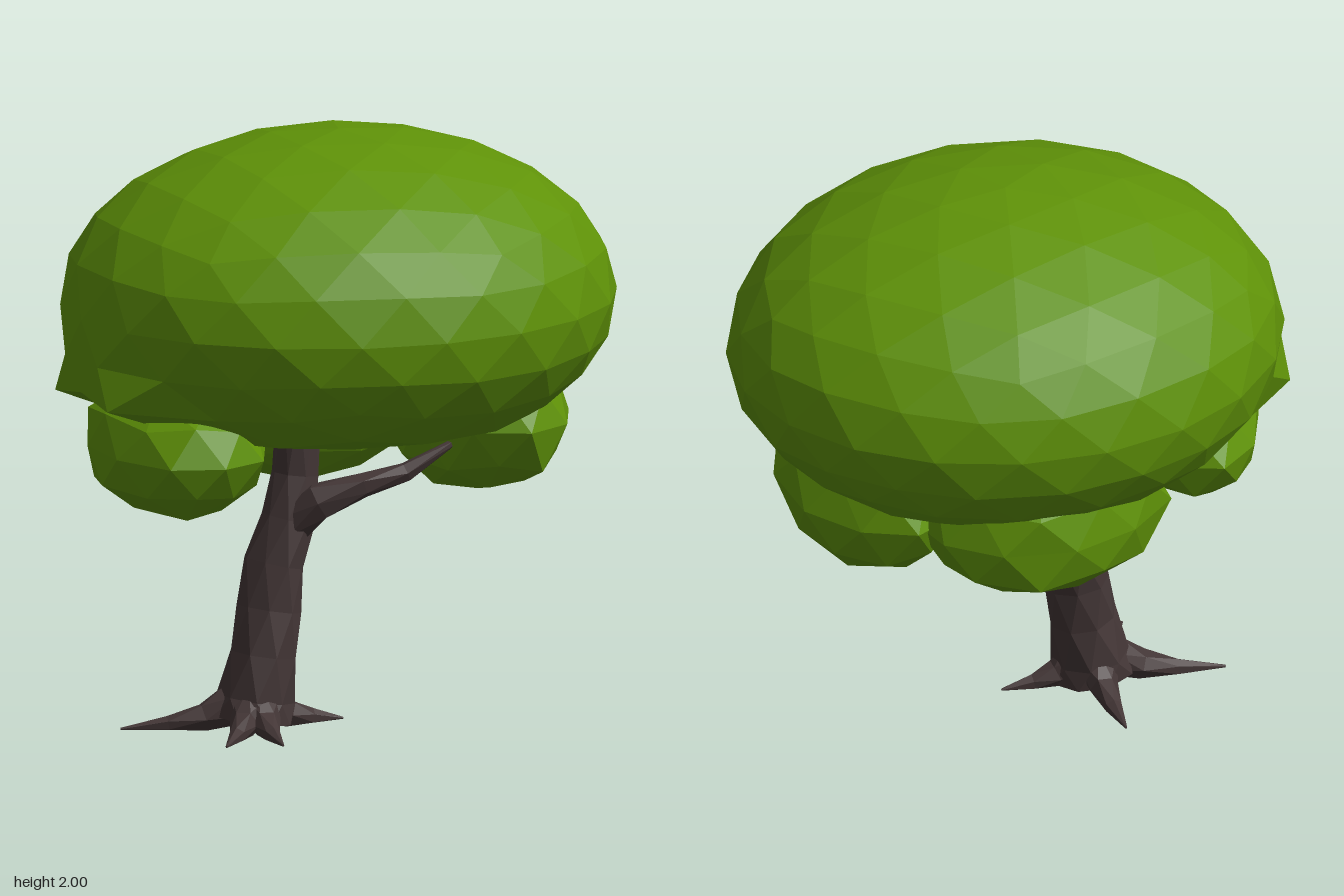
import * as THREE from 'three';

const leafMat = new THREE.MeshStandardMaterial({ color: 0x5f9208, flatShading: true });
const barkMat = new THREE.MeshStandardMaterial({ color: 0x433636, flatShading: true });

// repeatable noise in -1..1 from a position, so shared corners move together
function noise(x, y, z, seed) {
  const r = (v) => Math.round(v * 1000) / 1000;
  const s = Math.sin(r(x) * 127.1 + r(y) * 311.7 + r(z) * 74.7 + seed * 53.3) * 43758.5453;
  return (s - Math.floor(s)) * 2 - 1;
}

function addMesh(group, name, geometry, material) {
  const mesh = new THREE.Mesh(geometry, material);
  mesh.name = name;
  group.add(mesh);
}

// faceted ball with a corner at its pole; rule(v) moves each unit-sphere point
function leafBall(detail, rule) {
  const geo = new THREE.IcosahedronGeometry(1, detail);
  geo.rotateZ(Math.atan(2 / (1 + Math.sqrt(5))));
  geo.rotateY(Math.PI);
  const pos = geo.attributes.position;
  const v = new THREE.Vector3();
  for (let i = 0; i < pos.count; i++) {
    rule(v.fromBufferAttribute(pos, i));
    pos.setXYZ(i, v.x, v.y, v.z);
  }
  geo.computeVertexNormals();
  return geo;
}

// tapering limb through sections [x, y, z, radius]
function limb(sections, sides, rough, seed) {
  const centres = sections.map(([x, y, z]) => new THREE.Vector3(x, y, z));
  const n = sections.length;
  const span = centres[n - 1].clone().sub(centres[0]).normalize();
  const ref = Math.abs(span.y) > 0.7 ? new THREE.Vector3(1, 0, 0) : new THREE.Vector3(0, 1, 0);
  const verts = [];
  const index = [];
  sections.forEach(([, , , radius], i) => {
    const t = centres[Math.min(i + 1, n - 1)].clone().sub(centres[Math.max(i - 1, 0)]).normalize();
    const u = ref.clone().addScaledVector(t, -ref.dot(t)).normalize();
    const w = t.clone().cross(u);
    for (let j = 0; j < sides; j++) {
      const a = ((j + (i % 2) * 0.5) / sides) * Math.PI * 2;
      const r = radius * (1 + rough * noise(i, j, 0, seed));
      const p = centres[i].clone().addScaledVector(u, r * Math.cos(a)).addScaledVector(w, r * Math.sin(a));
      verts.push(p.x, Math.max(p.y, 0), p.z);
      if (i < n - 1) {
        const k = (j + 1) % sides;
        const [p0, p1, q0, q1] = [i * sides + j, i * sides + k, (i + 1) * sides + j, (i + 1) * sides + k];
        // half-step twist between rings gives alternating triangles
        if (i % 2) index.push(p0, p1, q1, p0, q1, q0);
        else index.push(p0, p1, q0, p1, q1, q0);
      }
    }
  });
  // close both ends
  for (let j = 1; j < sides - 1; j++) {
    const e = (n - 1) * sides;
    index.push(0, j + 1, j, e, e + j, e + j + 1);
  }
  const geo = new THREE.BufferGeometry();
  geo.setAttribute('position', new THREE.Float32BufferAttribute(verts, 3));
  geo.setIndex(index);
  geo.computeVertexNormals();
  return geo;
}

export function createModel() {
  const tree = new THREE.Group();
  tree.name = 'tree';

  // main crown: domed top, flat underside, slight sag on its right
  addMesh(tree, 'crown', leafBall(3, (v) => {
    if (v.x < -0.75 && v.y < -0.1 && v.y > -0.6 && Math.abs(v.z) < 0.3) v.x = -1;
    v.set(v.x * 0.948, Math.max(1.43 + v.y * (v.y > 0 ? 0.57 : 0.55), 1.0), v.z * 0.86);
  }), leafMat);

  // lower leaf clumps: centre, radii
  const clumps = [
    ['rightClump', [-0.63, 0.98, 0.04], [0.28, 0.24, 0.42]],
    ['leftClump', [0.5, 1.0, 0.01], [0.29, 0.28, 0.43]],
    ['backClump', [0.05, 0.99, -0.41], [0.43, 0.27, 0.33]],
  ];
  clumps.forEach(([name, c, r], k) => {
    addMesh(tree, name, leafBall(1, (v) => {
      const s = 1 + 0.06 * noise(v.x, v.y, v.z, k + 1);
      v.set(c[0] + v.x * r[0] * s, c[1] + v.y * r[1] * s, c[2] + v.z * r[2] * s);
    }), leafMat);
  });

  // leaning trunk
  addMesh(tree, 'trunk', limb([
    [-0.35, 0.03, 0.07, 0.14],
    [-0.34, 0.1, 0.07, 0.13],
    [-0.315, 0.25, 0.07, 0.115],
    [-0.29, 0.4, 0.065, 0.105],
    [-0.26, 0.55, 0.055, 0.103],
    [-0.215, 0.7, 0.055, 0.09],
    [-0.18, 0.85, 0.05, 0.08],
    [-0.17, 1.1, 0.05, 0.075],
  ], 8, 0.07, 4), barkMat);

  // side branch, growing forward and to the left
  addMesh(tree, 'branch', limb([
    [-0.22, 0.68, 0.07, 0.07],
    [-0.14, 0.77, 0.15, 0.062],
    [0.0, 0.82, 0.2, 0.045],
    [0.14, 0.86, 0.23, 0.032],
    [0.3, 0.95, 0.26, 0.012],
  ], 6, 0.1, 5), barkMat);

  // roots spreading over the ground from the trunk base
  const base = [-0.34, 0.07];
  const tips = [[-0.78, -0.05], [-0.58, 0.36], [-0.4, 0.42], [-0.03, 0.1], [-0.31, -0.3]];
  tips.forEach(([tx, tz], k) => {
    const along = (f, y, r) => [base[0] + (tx - base[0]) * f, y, base[1] + (tz - base[1]) * f, r];
    addMesh(tree, 'root' + (k + 1), limb([
      along(0.12, 0.09, 0.075),
      along(0.38, 0.04, 0.05),
      along(0.65, 0.02, 0.028),
      along(1, 0.01, 0.004),
    ], 6, 0.1, 6 + k), barkMat);
  });

  return tree;
}
